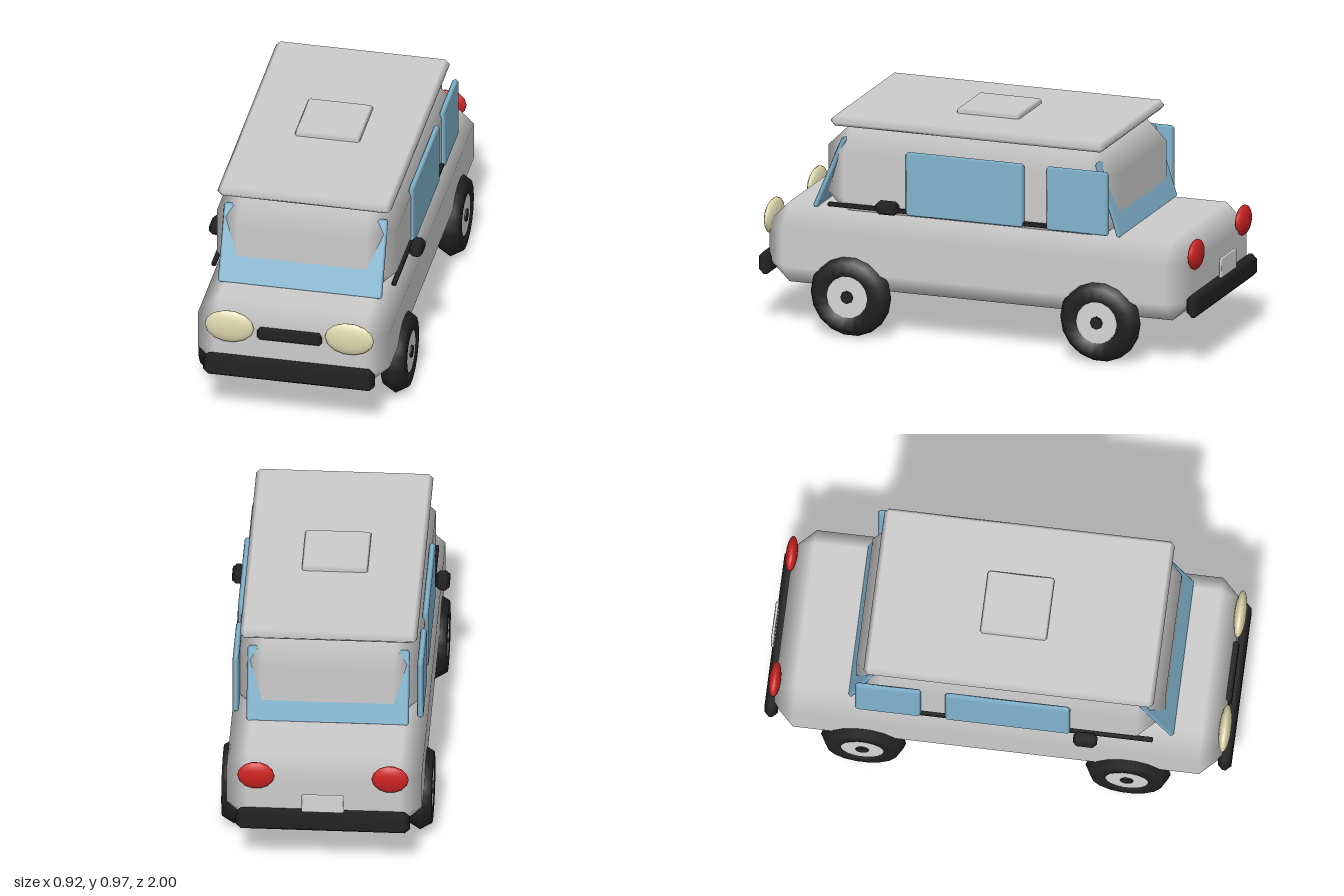
import * as THREE from 'three';
import { ConvexGeometry } from 'three/addons/geometries/ConvexGeometry.js';

const mat = (name, color) => {
  const m = new THREE.MeshStandardMaterial({ color });
  m.name = name;
  return m;
};

// Box with one flat chamfer; corner normals follow the main faces so the bevels shade softly
function chamferBox(w, h, d, b) {
  const half = [w / 2, h / 2, d / 2];
  const points = [];
  for (let axis = 0; axis < 3; axis++)
    for (const sx of [-1, 1]) for (const sy of [-1, 1]) for (const sz of [-1, 1]) {
      const s = [sx, sy, sz];
      points.push(new THREE.Vector3(...s.map((v, i) => v * (half[i] - (i === axis ? 0 : b)))));
    }
  const geo = new ConvexGeometry(points);
  const pos = geo.attributes.position;
  for (let i = 0; i < pos.count; i++) {
    const p = [pos.getX(i), pos.getY(i), pos.getZ(i)];
    geo.attributes.normal.setXYZ(i, ...p.map((v, k) => (Math.abs(Math.abs(v) - half[k]) < 1e-5 ? Math.sign(v) : 0)));
  }
  return geo;
}

export function createModel() {
  const van = new THREE.Group();
  van.name = 'van';
  const paint = mat('bodyPaint', 0xcccccc);
  const glass = mat('blueGlass', 0x80b3ce);
  const black = mat('blackRubber', 0x222222);
  const lamp = mat('creamLamp', 0xdfd8ae);
  const red = mat('redLamp', 0xcc2222);
  const metal = mat('lightMetal', 0xd6d6d6);

  const add = (name, geo, material, x = 0, y = 0, z = 0, parent = van) => {
    const mesh = new THREE.Mesh(geo, material);
    mesh.name = name;
    mesh.position.set(x, y, z);
    parent.add(mesh);
    return mesh;
  };
  // Chamfered box given by its extents
  const block = (name, material, [x0, x1], [y0, y1], [z0, z1], bevel) =>
    add(name, chamferBox(x1 - x0, y1 - y0, z1 - z0, bevel), material, (x0 + x1) / 2, (y0 + y1) / 2, (z0 + z1) / 2);

  // Shell
  block('lowerBody', paint, [-0.415, 0.415], [0.195, 0.545], [-0.955, 0.96], 0.09);
  block('cabin', paint, [-0.39, 0.39], [0.485, 0.912], [-0.61, 0.71], 0.11);
  block('roof', paint, [-0.376, 0.376], [0.911, 0.955], [-0.57, 0.67], 0.019);
  block('roofHatch', paint, [-0.14, 0.14], [0.945, 0.975], [-0.1, 0.185], 0.009);

  // Slanted front and rear glass, partly sunk into the cabin
  add('windshield', chamferBox(0.71, 0.343, 0.022, 0.009), glass, 0, 0.698, 0.68).rotation.x = -0.4;
  add('rearWindow', chamferBox(0.69, 0.333, 0.022, 0.009), glass, 0, 0.698, -0.578).rotation.x = 0.31;

  // Front and rear trim
  block('grille', black, [-0.14, 0.14], [0.41, 0.465], [0.935, 0.975], 0.012);
  block('frontBumper', black, [-0.37, 0.37], [0.222, 0.322], [0.942, 1.0], 0.022);
  block('rearBumper', black, [-0.37, 0.37], [0.222, 0.322], [-0.995, -0.938], 0.022);
  block('rearPlate', metal, [-0.09, 0.09], [0.33, 0.418], [-1.0, -0.986], 0.005);

  // Tyre: six-sided ring with its point at the tread
  const tyreGeo = new THREE.TorusGeometry(0.123, 0.059, 6, 18).rotateY(Math.PI / 2);
  const disc = (r, len, n) => new THREE.CylinderGeometry(r, r, len, n).rotateZ(Math.PI / 2);
  const ball = new THREE.SphereGeometry(1, 14, 10).rotateX(Math.PI / 2);

  for (const s of [1, -1]) {
    const side = s > 0 ? 'left' : 'right';
    const range = (a, b) => (s > 0 ? [a, b] : [-b, -a]);

    // Side glass, trim strip and mirror
    block(side + 'FrontWindow', glass, range(0.379, 0.405), [0.558, 0.837], [-0.218, 0.317], 0.01);
    block(side + 'BackWindow', glass, range(0.379, 0.405), [0.558, 0.837], [-0.602, -0.32], 0.01);
    block(side + 'TrimStrip', black, range(0.38, 0.4), [0.564, 0.582], [-0.56, 0.67], 0.004);
    block(side + 'Mirror', black, range(0.403, 0.462), [0.566, 0.622], [0.335, 0.437], 0.017);

    // Lamps
    add(side + 'Headlight', ball, lamp, s * 0.26, 0.46, 0.963).scale.set(0.107, 0.077, 0.026);
    add(side + 'TailLight', ball, red, s * 0.285, 0.485, -0.957).scale.set(0.079, 0.066, 0.025);

    // Wheels
    for (const z of [0.565, -0.565]) {
      const wheel = new THREE.Group();
      wheel.name = side + (z > 0 ? 'FrontWheel' : 'BackWheel');
      wheel.position.set(s * 0.395, 0.185, z);
      add('tyre', tyreGeo, black, 0, 0, 0, wheel);
      add('innerDisc', disc(0.1, 0.07, 16), black, s * -0.014, 0, 0, wheel);
      add('hub', disc(0.092, 0.05, 14), metal, s * 0.023, 0, 0, wheel);
      add('hubCap', disc(0.028, 0.03, 8), black, s * 0.04, 0, 0, wheel);
      van.add(wheel);
    }
  }
  return van;
}
